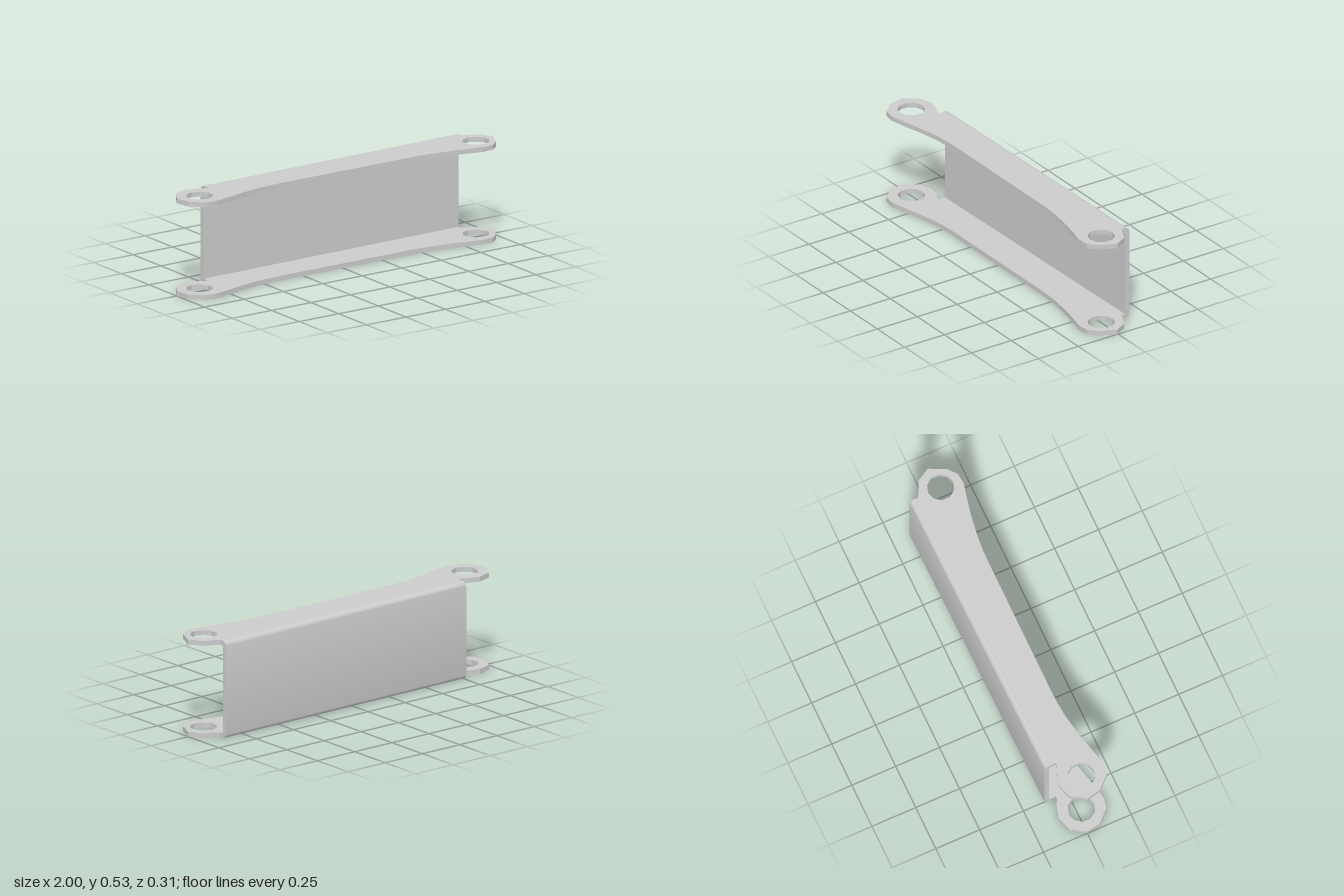
import * as THREE from 'three';
import { toCreasedNormals } from 'three/addons/utils/BufferGeometryUtils.js';

const H = 0.527, T = 0.026;          // overall height, sheet thickness
const X0 = -0.755, X1 = 0.875;       // ends of the back web
const backZ = x => -0.133 - 0.022 * (x - X0) / (X1 - X0); // web leans slightly along its length

export function createModel() {
  const group = new THREE.Group();
  const material = new THREE.MeshStandardMaterial({ color: 0xcccccc });
  const add = (name, geometry, crease, y = 0) => {
    const mesh = new THREE.Mesh(toCreasedNormals(geometry, crease), material);
    mesh.name = name;
    mesh.position.y = y;
    group.add(mesh);
  };

  // Flange outline in x, z: lug at each end, notches beside the web, waisted front edge
  const outline = [
    [-1, 0], [-0.95, -0.08], [-0.87, -0.105], [-0.8, -0.085], [-0.775, -0.071], [X0, -0.068],
    [X0, backZ(X0) + T], [X1, backZ(X1) + T],
    [X1, -0.106], [0.96, -0.065], [1, 0.005], [0.957, 0.095], [0.91, 0.135], [0.85, 0.142],
    [0.76, 0.121], [0.67, 0.102], [0.55, 0.085], [0.48, 0.079], [0.4, 0.077],
    [-0.4, 0.077], [-0.47, 0.08], [-0.54, 0.086], [-0.665, 0.109], [-0.75, 0.131],
    [-0.835, 0.15], [-0.87, 0.155], [-0.925, 0.143], [-0.985, 0.08],
  ];
  const shape = new THREE.Shape(outline.map(p => new THREE.Vector2(...p)));

  // Ten-sided bolt holes
  for (const cx of [-0.873, 0.879]) {
    const pts = [];
    for (let i = 0; i < 10; i++) {
      const a = (i + 0.5) / 10 * Math.PI * 2;
      pts.push(new THREE.Vector2(cx + 0.072 * Math.cos(a), 0.024 + 0.072 * Math.sin(a)));
    }
    shape.holes.push(new THREE.Path(pts));
  }
  const flange = new THREE.ExtrudeGeometry(shape, { depth: T, bevelEnabled: false });
  flange.rotateX(Math.PI / 2).translate(0, T, 0);
  add('bottomFlange', flange, 0.4);
  add('topFlange', flange, 0.4, H - T);

  // Back web with rounded bends at top and bottom
  const profile = new THREE.Shape();
  profile.moveTo(-T, 0);
  profile.absarc(-T, T, T, -Math.PI / 2, 0, false);
  profile.absarc(-T, H - T, T, 0, Math.PI / 2, false);
  const web = new THREE.ExtrudeGeometry(profile, { depth: X1 - X0, bevelEnabled: false, curveSegments: 4 });
  web.rotateY(Math.PI / 2).translate(X0, 0, 0);
  const pos = web.attributes.position;
  for (let i = 0; i < pos.count; i++) pos.setZ(i, pos.getZ(i) + backZ(pos.getX(i)));
  add('backWeb', web, 0.6);

  return group;
}
